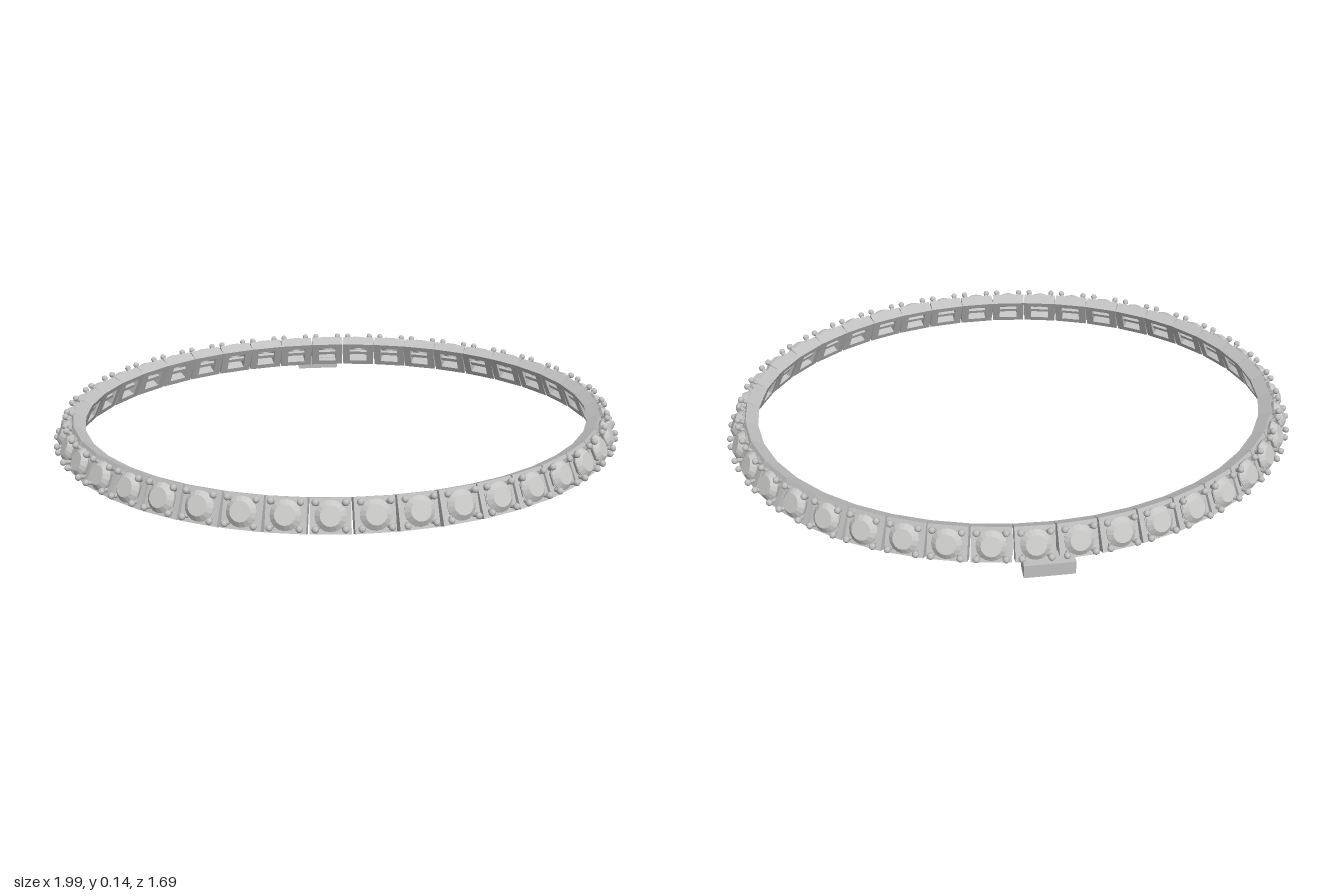
import * as THREE from 'three';
import { mergeGeometries } from 'three/addons/utils/BufferGeometryUtils.js';

const LINKS = 41, A = 0.925, B = 0.775, MID_Y = 0.079, TILT = 0.436;

// Facet a geometry: every triangle gets its own normal
function faceted(geo) {
  const g = geo.index ? geo.toNonIndexed() : geo;
  g.computeVertexNormals();
  return g;
}

// Square frame behind each stone, open in the middle
function frameGeometry() {
  const w = 0.0625, h = 0.055, s = 0.035, d = 0.045;
  const shape = new THREE.Shape([
    new THREE.Vector2(-w, -h), new THREE.Vector2(w, -h),
    new THREE.Vector2(w, h), new THREE.Vector2(-w, h)]);
  shape.holes.push(new THREE.Path([
    new THREE.Vector2(-s, -s), new THREE.Vector2(-s, s),
    new THREE.Vector2(s, s), new THREE.Vector2(s, -s)]));
  const frame = new THREE.ExtrudeGeometry(shape, { depth: d, bevelEnabled: false });
  frame.translate(0, 0, -d / 2);
  const bar = new THREE.BoxGeometry(2 * s, 0.014, 0.012).toNonIndexed();
  bar.translate(0, 0, -0.008);
  return mergeGeometries([frame, bar]);
}

// Eight-sided collar that holds the girdle of the stone
function collarGeometry() {
  const profile = [[0.036, 0.018], [0.046, 0.018], [0.053, 0.032], [0.046, 0.032], [0.036, 0.018]];
  const g = new THREE.LatheGeometry(profile.map(p => new THREE.Vector2(...p)), 8, Math.PI / 8);
  return faceted(g.rotateX(Math.PI / 2));
}

// Round cut stone: pavilion, girdle, crown and table
function stoneGeometry() {
  const profile = [[0, -0.01], [0.048, 0.03], [0.048, 0.034], [0.032, 0.05], [0, 0.05]];
  const g = new THREE.LatheGeometry(profile.map(p => new THREE.Vector2(...p)), 16);
  return faceted(g.rotateX(Math.PI / 2));
}

// Four splayed corner prongs with ball tips
function prongGeometry() {
  const parts = [], up = new THREE.Vector3(0, 1, 0);
  for (const sx of [-1, 1]) for (const sy of [-1, 1]) {
    const base = new THREE.Vector3(sx * 0.034, sy * 0.032, 0.012);
    const tip = new THREE.Vector3(sx * 0.045, sy * 0.04, 0.046);
    const dir = tip.clone().sub(base);
    const rod = new THREE.CylinderGeometry(0.007, 0.007, dir.length(), 8);
    rod.applyQuaternion(new THREE.Quaternion().setFromUnitVectors(up, dir.clone().normalize()));
    const mid = base.clone().add(tip).multiplyScalar(0.5);
    rod.translate(mid.x, mid.y, mid.z);
    const ball = new THREE.SphereGeometry(0.011, 10, 8).translate(tip.x, tip.y, tip.z);
    parts.push(rod, ball);
  }
  return mergeGeometries(parts);
}

// Angles spaced evenly by length along the oval, starting at +x toward +z
function evenAngles(count) {
  const steps = 4000, lengths = [0];
  for (let i = 0; i < steps; i++) {
    const t = (i + 0.5) / steps * Math.PI * 2;
    lengths.push(lengths[i] + Math.hypot(A * Math.sin(t), B * Math.cos(t)));
  }
  const angles = [];
  for (let k = 0, i = 0; k < count; k++) {
    while (lengths[i] < lengths[steps] * k / count) i++;
    angles.push(i / steps * Math.PI * 2);
  }
  return angles;
}

export function createModel() {
  const metal = new THREE.MeshStandardMaterial({ color: 0xc0c0c0 });
  metal.name = 'silver metal';
  const crystal = new THREE.MeshStandardMaterial({ color: 0xc8c8c6 });
  crystal.name = 'pale crystal';

  const parts = [
    ['frame', frameGeometry(), metal],
    ['collar', collarGeometry(), metal],
    ['prongs', prongGeometry(), metal],
    ['stone', stoneGeometry(), crystal],
  ];

  const bracelet = new THREE.Group();
  bracelet.name = 'bracelet';

  // Links around the oval, each leaning so its stone faces out and up
  for (const t of evenAngles(LINKS)) {
    const link = new THREE.Group();
    link.name = 'link';
    for (const [name, geometry, material] of parts) {
      const mesh = new THREE.Mesh(geometry, material);
      mesh.name = name;
      link.add(mesh);
    }
    link.position.set(A * Math.cos(t), MID_Y, B * Math.sin(t));
    link.rotation.order = 'YXZ';
    link.rotation.set(-TILT, Math.atan2(Math.cos(t) / A, Math.sin(t) / B), 0);
    bracelet.add(link);
  }

  // Clasp block under the back links
  const clasp = new THREE.Mesh(new THREE.BoxGeometry(0.16, 0.046, 0.062), metal);
  clasp.name = 'clasp';
  clasp.position.set(-0.003, 0.024, -0.816);
  bracelet.add(clasp);

  return bracelet;
}
